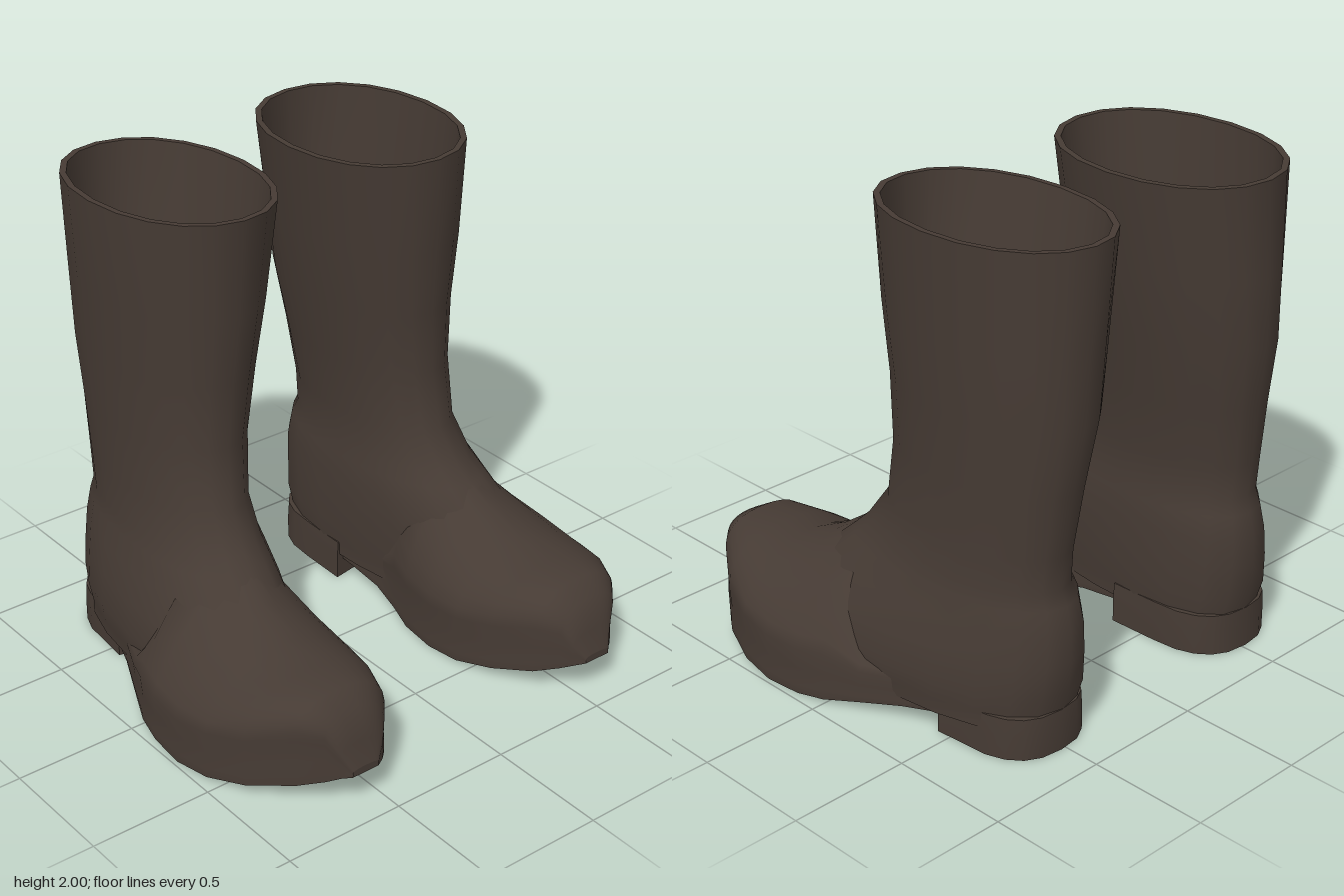
import * as THREE from 'three';

const SIDES = 20;

// Skin a list of equal-length point rings; caps get their own vertices so edges stay sharp.
function loft(rings, capStart = false, capEnd = false) {
  const n = rings[0].length, pos = [], idx = [];
  rings.forEach(r => r.forEach(p => pos.push(...p)));
  for (let i = 0; i < rings.length - 1; i++) {
    for (let j = 0; j < n; j++) {
      const a = i * n + j, b = i * n + (j + 1) % n;
      idx.push(a, a + n, b, b, a + n, b + n);
    }
  }
  const cap = (ring, flip) => {
    const base = pos.length / 3;
    const mid = [0, 1, 2].map(k => ring.reduce((s, p) => s + p[k], 0) / n);
    pos.push(...mid);
    ring.forEach(p => pos.push(...p));
    for (let j = 0; j < n; j++) {
      const a = base + 1 + j, b = base + 1 + (j + 1) % n;
      if (flip) idx.push(base, b, a); else idx.push(base, a, b);
    }
  };
  if (capStart) cap(rings[0], false);
  if (capEnd) cap(rings[rings.length - 1], true);
  const g = new THREE.BufferGeometry();
  g.setAttribute('position', new THREE.Float32BufferAttribute(pos, 3));
  g.setIndex(idx);
  g.computeVertexNormals();
  return g;
}

// Mirror across x = 0 and reverse the corner order
function mirror(geo) {
  const g = geo.clone().scale(-1, 1, 1);
  const idx = Array.from(g.index.array);
  for (let i = 0; i < idx.length; i += 3) [idx[i], idx[i + 1]] = [idx[i + 1], idx[i]];
  g.setIndex(idx);
  g.computeVertexNormals();
  return g;
}

const power = (v, n) => Math.sign(v) * Math.abs(v) ** (2 / n);

// Level oval: height, back z, front z, inner x, outer x, outward skew of the front, roundness
function oval([y, zB, zF, xL, xR, skew = 0, n = 2.1]) {
  const ring = [];
  for (let j = 0; j < SIDES; j++) {
    const t = (j / SIDES) * Math.PI * 2;
    const s = power(Math.sin(t), n);
    const x = (xL + xR) / 2 + (xR - xL) / 2 * power(Math.cos(t), n) + skew * s;
    const tilt = (y / 2) ** 6 * ((x - 0.8) * 0.03 + (s - 1) * 0.004);
    ring.push([x, y + tilt, (zB + zF) / 2 + (zF - zB) / 2 * s]);
  }
  return ring;
}

// Upright foot slice: z, sole y, top y, inner x, outer x, ridge x, roundness of the arch
function slice([z, yB, yT, xL, xR, ridge, n]) {
  const c = (xL + xR) / 2, hw = (xR - xL) / 2, h = yT - yB;
  const rim = Math.min(0.2, h * 0.6), yM = yB + rim;
  const half = [];
  for (let k = 0; k <= 7; k++) {
    const a = (k / 7) * Math.PI / 2;
    const up = k === 7 ? 0 : power(Math.cos(a), n);
    half.push([hw * power(Math.sin(a), n), yM + (yT - yM) * up, (ridge - c) * up]);
  }
  // slight pinch above the sole, then a sharp lower corner
  half.push([hw * 0.975, yB + rim * 0.55, 0], [hw, yB + rim * 0.2, 0], [hw * 0.99, yB, 0], [hw * 0.99, yB, 0]);
  const right = half.map(([x, y, s]) => [c + x + s, y, z]);
  const left = half.slice(1).reverse().map(([x, y, s]) => [c - x + s, y, z]);
  return [...right, ...left];
}

// Heel outline: rounded back and a slanted straight front with sharp corners
function heelRing(y, grow) {
  const ring = [], hw = 0.232 + grow;
  const inner = [0.515 - hw, y, -0.35], outer = [0.53 + hw, y, -0.44];
  ring.push(outer, inner, inner);
  for (let k = 0; k <= 10; k++) {
    const t = Math.PI + (k / 10) * Math.PI;
    ring.push([0.52 + hw * power(Math.cos(t), 2.5), y, -0.56 + (0.285 + grow) * power(Math.sin(t), 2.5)]);
  }
  ring.push(outer);
  return ring;
}

export function createModel() {
  const leather = new THREE.MeshStandardMaterial({ color: 0x463b34 });
  leather.name = 'dark brown leather';

  // shaft, ankle and heel counter, from the sole upward
  const shaft = [
    [0.11, -0.84, 0.36, 0.30, 0.83, 0.05, 2.4],
    [0.17, -0.84, 0.40, 0.30, 0.84, 0.06, 2.4],
    [0.25, -0.865, 0.42, 0.29, 0.85, 0.06, 2.4],
    [0.38, -0.875, 0.40, 0.285, 0.83, 0.05, 2.3],
    [0.50, -0.87, 0.29, 0.28, 0.79, 0.03, 2.3],
    [0.60, -0.85, 0.18, 0.285, 0.765, 0.02, 2.2],
    [0.66, -0.825, 0.12, 0.295, 0.75, 0.01],
    [0.80, -0.835, 0.02, 0.295, 0.735],
    [1.05, -0.865, -0.015, 0.26, 0.74],
    [1.32, -0.905, -0.002, 0.21, 0.755],
    [1.60, -0.908, 0.03, 0.165, 0.775],
    [2.00, -0.91, 0.055, 0.105, 0.80],
  ].map(oval);

  // hollow inside, from the rim down to the insole
  const cavity = [
    [2.00, -0.885, 0.03, 0.13, 0.775],
    [1.60, -0.88, 0.0, 0.195, 0.745],
    [1.05, -0.835, -0.05, 0.295, 0.705],
    [0.80, -0.80, -0.06, 0.33, 0.69],
    [0.50, -0.79, -0.09, 0.345, 0.665],
    [0.29, -0.78, -0.11, 0.35, 0.655],
  ].map(oval);

  // foot from the arch forward to the toe tip
  const foot = [
    [-0.45, 0.09, 0.26, 0.31, 0.77, 0.53, 2.4],
    [-0.30, 0.07, 0.26, 0.32, 0.82, 0.55, 2.4],
    [-0.14, 0.045, 0.27, 0.325, 0.89, 0.57, 2.2],
    [0.00, 0.02, 0.74, 0.30, 0.95, 0.53, 1.3],
    [0.12, 0.005, 0.64, 0.265, 0.975, 0.54, 1.4],
    [0.28, 0.0, 0.53, 0.25, 0.985, 0.57, 1.6],
    [0.44, 0.015, 0.455, 0.255, 0.965, 0.59, 1.8],
    [0.60, 0.045, 0.43, 0.30, 0.905, 0.60, 2.2],
    [0.76, 0.085, 0.43, 0.375, 0.79, 0.60, 2.4],
    [0.84, 0.115, 0.385, 0.44, 0.715, 0.60, 2.4],
    [0.875, 0.13, 0.26, 0.475, 0.67, 0.59, 2.4],
    [0.907, 0.14, 0.17, 0.52, 0.64, 0.58, 2.4],
  ].map(slice);

  const parts = {
    shaft: loft(shaft),
    rim: loft([shaft[shaft.length - 1], cavity[0]]),
    lining: loft(cavity, false, true),
    foot: loft(foot, true, true),
    heel: loft([heelRing(0, 0), heelRing(0.1, 0), heelRing(0.17, -0.004)], true, true),
  };

  const model = new THREE.Group();
  model.name = 'boots';
  for (const side of ['left', 'right']) {
    const boot = new THREE.Group();
    boot.name = side + 'Boot';
    for (const [name, geo] of Object.entries(parts)) {
      const mesh = new THREE.Mesh(side === 'left' ? geo : mirror(geo), leather);
      mesh.name = name;
      boot.add(mesh);
    }
    model.add(boot);
  }
  return model;
}
